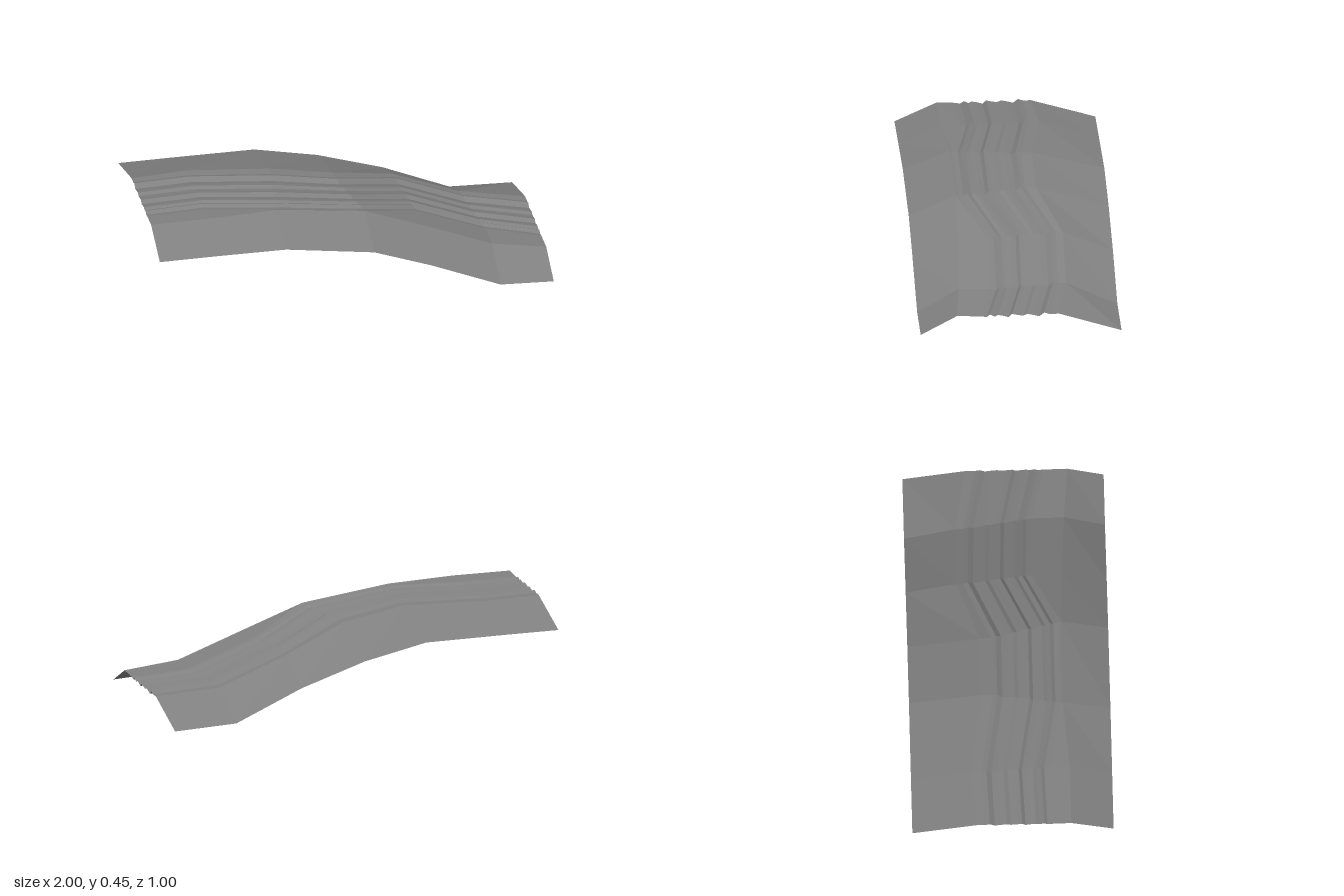
import * as THREE from 'three';

// Stations along the road: x at the back and front of the road, sideways shift, crown height, outer edge height
const stations = [
  { xb: -1, xf: -1, shift: 0, y: 0.45, edge: 0.355, back: -0.18, front: 0.29 },
  { xb: -0.72, xf: -0.7, shift: -0.01, y: 0.45, edge: 0.354, back: -0.2, front: 0.29 },
  { xb: -0.31, xf: -0.36, shift: 0.055, y: 0.445, edge: 0.35, back: -0.14, front: 0.265 },
  { xb: 0.01, xf: 0.09, shift: 0.055, y: 0.385, edge: 0.28, back: -0.14, front: 0.265 },
  { xb: 0.34, xf: 0.38, shift: -0.075, y: 0.275, edge: 0.17, back: -0.25, front: 0.275 },
  { xb: 0.68, xf: 0.73, shift: -0.065, y: 0.137, edge: 0.018, back: -0.245, front: 0.295 },
  { xb: 1, xf: 1, shift: 0, y: 0.1, edge: 0.004, back: -0.19, front: 0.32 },
];

// Rutted road section: z and height above the crown
const ruts = [
  [-0.14, 0], [-0.115, 0.008], [-0.09, -0.011], [-0.06, -0.003], [-0.03, 0.003], [-0.01, -0.006],
  [0.025, 0], [0.045, 0.005], [0.062, -0.012], [0.09, -0.004], [0.115, 0.001], [0.132, -0.007],
  [0.155, 0.004], [0.172, -0.009], [0.2, -0.004],
];

// Skin a sheet through rows of points running from back to front
function sheet(name, rows, material) {
  const n = rows[0].length;
  const index = [];
  for (let i = 0; i < rows.length - 1; i++) {
    for (let j = 0; j < n - 1; j++) {
      const a = i * n + j, b = a + 1, c = a + n, d = c + 1;
      index.push(a, b, c, b, d, c);
    }
  }
  const geometry = new THREE.BufferGeometry().setFromPoints(rows.flat());
  geometry.setIndex(index);
  const flat = geometry.toNonIndexed();
  flat.computeVertexNormals();
  const mesh = new THREE.Mesh(flat, material);
  mesh.name = name;
  return mesh;
}

export function createModel() {
  const group = new THREE.Group();
  group.name = 'ruttedHillRoad';
  const earth = new THREE.MeshStandardMaterial({ color: 0x808080 });
  earth.name = 'greyEarth';
  earth.side = THREE.DoubleSide;
  earth.flatShading = true;

  const road = [], backBank = [], frontBank = [];
  for (const s of stations) {
    // Bends lean slightly across the width of the road
    const point = (z, y) => {
      const t = THREE.MathUtils.clamp((z - s.shift + 0.15) / 0.35, 0, 1);
      return new THREE.Vector3(THREE.MathUtils.lerp(s.xb, s.xf, t), y, z);
    };
    const row = [
      point(s.back, s.y),
      ...ruts.map(([z, h]) => point(z + s.shift, s.y + h)),
      point(s.front, s.y),
    ];
    road.push(row);
    backBank.push([point(-0.5, s.edge), row[0]]);
    frontBank.push([row[row.length - 1], point(0.5, s.edge)]);
  }

  group.add(
    sheet('road', road, earth),
    sheet('backBank', backBank, earth),
    sheet('frontBank', frontBank, earth),
  );
  return group;
}
